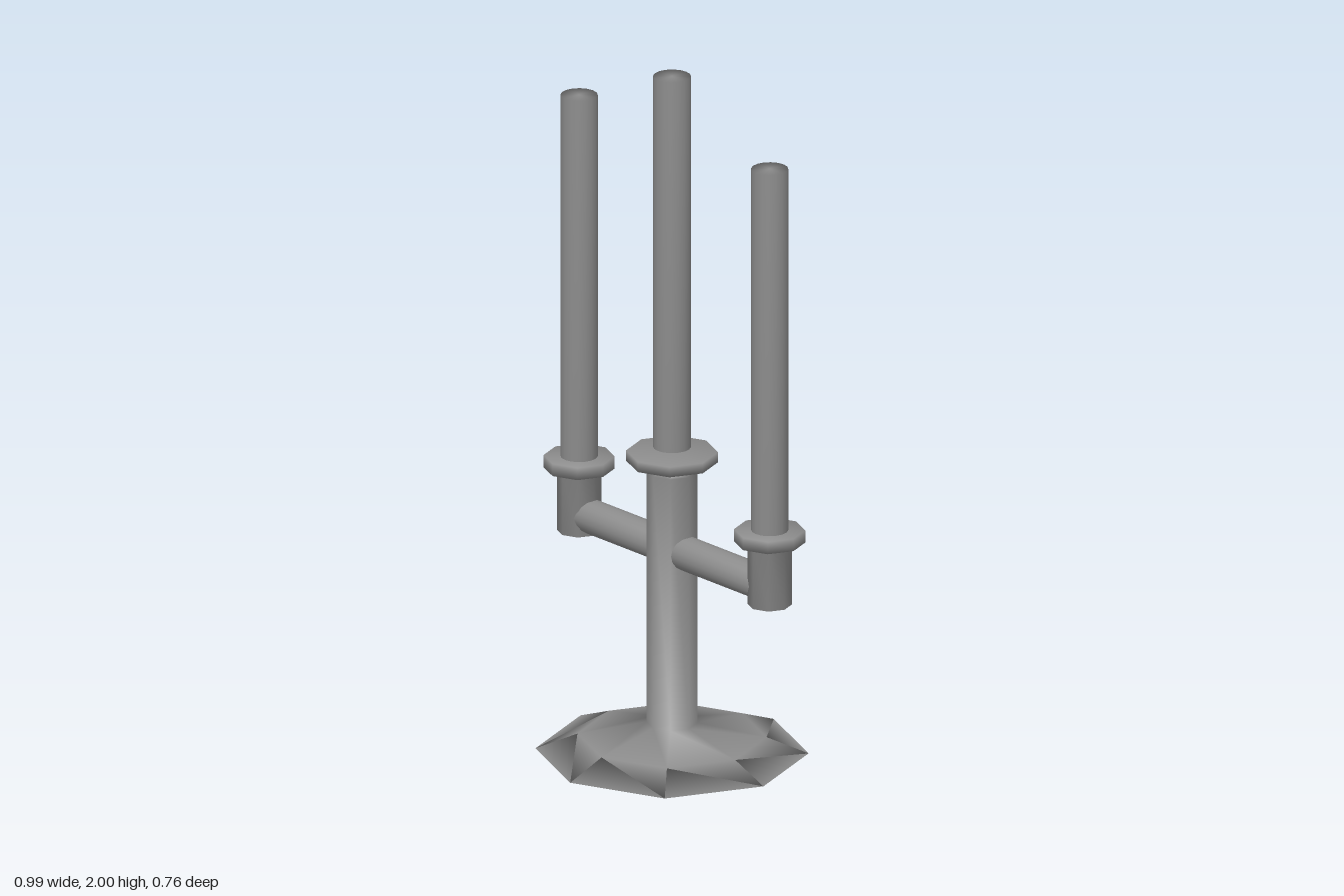
import * as THREE from 'three';
import { mergeVertices } from 'three/addons/utils/BufferGeometryUtils.js';

const material = new THREE.MeshStandardMaterial({ color: 0x8c8c8c });

// Welds the corners so that normals run smoothly over the edges
function part(name, geometry) {
  geometry.deleteAttribute('uv');
  geometry.deleteAttribute('normal');
  const welded = mergeVertices(geometry, 1e-4);
  welded.computeVertexNormals();
  const mesh = new THREE.Mesh(welded, material);
  mesh.name = name;
  return mesh;
}

// Octagonal turned part from [radius, height] points, bottom to top
function turned(name, points) {
  return part(name, new THREE.LatheGeometry(points.map(([r, y]) => new THREE.Vector2(r, y)), 8));
}

// Round upright candle between two heights
function candle(name, radius, bottom, top) {
  const mesh = part(name, new THREE.CylinderGeometry(radius, radius, top - bottom, 16));
  mesh.position.y = (bottom + top) / 2;
  return mesh;
}

export function createModel() {
  const model = new THREE.Group();
  model.name = 'candelabrum';
  const centreX = -0.01;

  // Sloping foot, column, neck and drip plate in one turned piece
  const centre = new THREE.Group();
  centre.name = 'centreStem';
  centre.position.x = centreX;
  centre.add(
    turned('baseAndColumn', [
      [0, 0], [0.38, 0], [0.263, 0.046], [0.071, 0.085], [0.071, 0.83],
      [0.045, 0.83], [0.045, 0.858], [0.128, 0.858], [0.128, 0.888], [0, 0.888]
    ]),
    candle('centreCandle', 0.053, 0.902, 2)
  );
  model.add(centre);

  // Side arms, each with a turned cup and a candle
  for (const side of [-1, 1]) {
    const cupX = side * 0.396;
    const label = side > 0 ? 'left' : 'right';

    const holder = new THREE.Group();
    holder.name = label + 'Holder';
    holder.position.x = cupX;
    holder.add(
      turned('cupAndDripPlate', [
        [0, 0.548], [0.062, 0.548], [0.062, 0.732], [0.099, 0.732], [0.099, 0.768], [0, 0.768]
      ]),
      candle('candle', 0.052, 0.765, 1.838)
    );

    const arm = part(label + 'Arm', new THREE.CylinderGeometry(0.049, 0.049, Math.abs(cupX - centreX), 16));
    arm.rotation.z = Math.PI / 2;
    arm.position.set((cupX + centreX) / 2, 0.602, 0);
    model.add(holder, arm);
  }
  return model;
}
